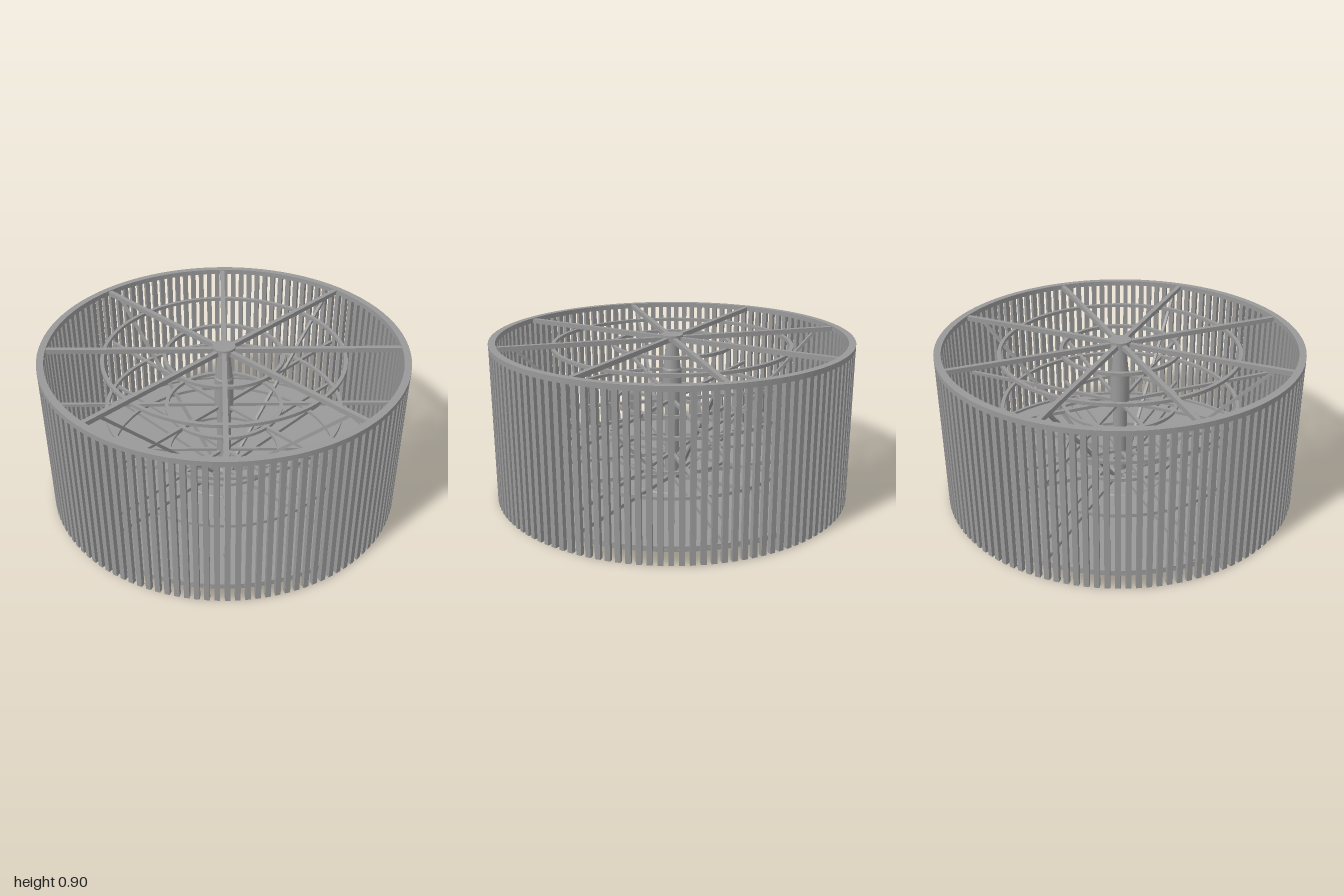
import * as THREE from 'three';

const TAU = Math.PI * 2;
const SLATS = 121;
const SPOKES = 8;

export function createModel() {
  const model = new THREE.Group();
  model.name = 'slattedDrum';
  const steel = new THREE.MeshStandardMaterial({ color: 0x999999 });
  steel.name = 'grey steel';

  const add = (name, geometry, parent = model) => {
    const mesh = new THREE.Mesh(geometry, steel);
    mesh.name = name;
    parent.add(mesh);
    return mesh;
  };
  const group = (name) => {
    const g = new THREE.Group();
    g.name = name;
    model.add(g);
    return g;
  };

  // flat hoop with a rectangular section, sharp edges
  const hoop = (name, inner, outer, bottom, height, parent) => {
    const shape = new THREE.Shape().absarc(0, 0, outer, 0, TAU, false);
    shape.holes.push(new THREE.Path().absarc(0, 0, inner, 0, TAU, true));
    const geo = new THREE.ExtrudeGeometry(shape, { depth: height, bevelEnabled: false, curveSegments: 48 });
    geo.rotateX(-Math.PI / 2).translate(0, bottom, 0);
    return add(name, geo, parent);
  };

  // bar in a radial plane, from (r0, y0) to (r1, y1), turned to an angle
  const radialBar = (name, angle, [r0, y0], [r1, y1], width, height, parent) => {
    const geo = new THREE.BoxGeometry(Math.hypot(r1 - r0, y1 - y0), height, width);
    geo.rotateZ(Math.atan2(y1 - y0, r1 - r0));
    geo.translate((r0 + r1) / 2, (y0 + y1) / 2, 0);
    geo.rotateY(angle);
    return add(name, geo, parent);
  };

  // outer wall of upright slats
  const wall = group('slatWall');
  const slatGeometry = new THREE.BoxGeometry(0.025, 0.868, 0.028).translate(0.9865, 0.434, 0);
  for (let i = 0; i < SLATS; i++) {
    add('slat', slatGeometry, wall).rotation.y = (i / SLATS) * TAU;
  }

  // top rim
  hoop('topRim', 0.962, 1, 0.862, 0.028, model);

  // three spoked wheels stacked on the column
  const wheels = [
    { name: 'topWheel', y: 0.873, width: 0.026, height: 0.026, ringDrop: 0.03 },
    { name: 'middleWheel', y: 0.52, width: 0.018, height: 0.018, ringDrop: 0 },
    { name: 'lowerWheel', y: 0.2, width: 0.018, height: 0.018, ringDrop: 0 },
  ];
  for (const w of wheels) {
    const wheel = group(w.name);
    for (let i = 0; i < SPOKES; i++) {
      radialBar('spoke', (i / SPOKES) * TAU, [0.03, w.y], [0.968, w.y], w.width, w.height, wheel);
    }
    hoop('outerRing', 0.648, 0.668, w.y - w.ringDrop - 0.009, 0.018, wheel);
    hoop('innerRing', 0.312, 0.332, w.y - w.ringDrop - 0.009, 0.018, wheel);
  }

  // shallow dished floor, lowest at the centre
  const floorProfile = [
    [0, 0.028], [0.06, 0.028], [0.975, 0.062], [0.975, 0.076], [0.26, 0.05],
    [0.255, 0.056], [0.06, 0.048], [0, 0.048],
  ].map(([r, y]) => new THREE.Vector2(r, y));
  const floorGeometry = new THREE.LatheGeometry(floorProfile, 72).toNonIndexed();
  floorGeometry.computeVertexNormals();
  add('floor', floorGeometry);

  // floor ribs with the bolts holding them, and diagonal braces above
  const frame = group('floorFrame');
  const boltGeometry = new THREE.CylinderGeometry(0.005, 0.005, 0.05, 8);
  for (let i = 0; i < SPOKES; i++) {
    const angle = (i / SPOKES) * TAU;
    radialBar('floorRib', angle, [0.04, 0.06], [0.968, 0.088], 0.02, 0.022, frame);
    radialBar('hubTab', angle, [0.05, 0.027], [0.13, 0.03], 0.008, 0.014, frame);
    for (const [r, y] of [[0.52, 0.045], [0.88, 0.055]]) {
      add('floorBolt', boltGeometry, frame).position.set(r * Math.cos(angle), y, -r * Math.sin(angle));
    }
    if (i % 2 === 0) {
      radialBar('diagonalBrace', angle, [0.1, 0.09], [0.86, 0.865], 0.016, 0.016, frame);
    }
  }
  hoop('floorEdgeRing', 0.955, 0.974, 0.072, 0.018, frame);

  // central column: tapered neck over a wider sleeve
  const columnProfile = [
    [0, 0.02], [0.06, 0.02], [0.06, 0.075], [0.04, 0.085], [0.04, 0.48], [0.053, 0.48],
    [0.053, 0.7], [0.048, 0.71], [0.034, 0.85], [0.034, 0.88],
  ].map(([r, y]) => new THREE.Vector2(r, y));
  const columnGeometry = new THREE.LatheGeometry(columnProfile, 32).toNonIndexed();
  columnGeometry.computeVertexNormals();
  add('column', columnGeometry);

  // hub cap
  add('hubCap', new THREE.CylinderGeometry(0.062, 0.062, 0.03, 32).translate(0, 0.883, 0));

  return model;
}
